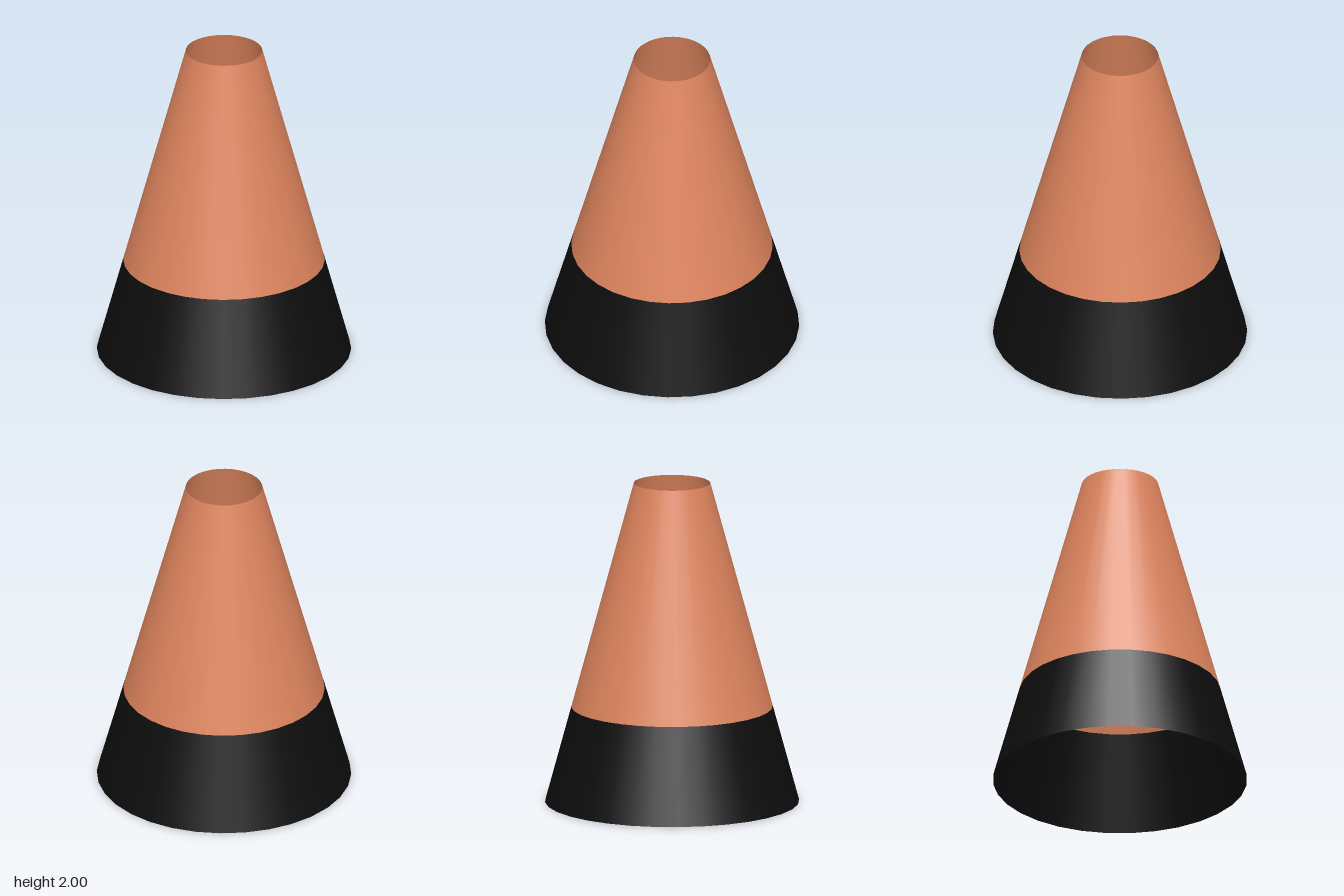
import * as THREE from 'three';

export function createModel() {
  const group = new THREE.Group();
  group.name = 'cone';

  const orange = new THREE.MeshStandardMaterial({ color: 0xdd845d, side: THREE.DoubleSide });
  orange.name = 'orange';
  const black = new THREE.MeshStandardMaterial({ color: 0x0d0d0d, side: THREE.DoubleSide });
  black.name = 'black';

  const height = 2, bottomRadius = 0.783, topRadius = 0.236;
  const radiusAt = (y) => THREE.MathUtils.lerp(bottomRadius, topRadius, y / height);

  // Open, thin section of the tapering wall between two heights
  const addBand = (name, y0, y1, material) => {
    const geometry = new THREE.CylinderGeometry(
      radiusAt(y1), radiusAt(y0), y1 - y0, 32, 1, true, THREE.MathUtils.degToRad(-4));
    const mesh = new THREE.Mesh(geometry, material);
    mesh.name = name;
    mesh.position.y = (y0 + y1) / 2;
    group.add(mesh);
  };

  addBand('lowerBand', 0, 0.595, black);
  addBand('upperCone', 0.595, height, orange);

  return group;
}
